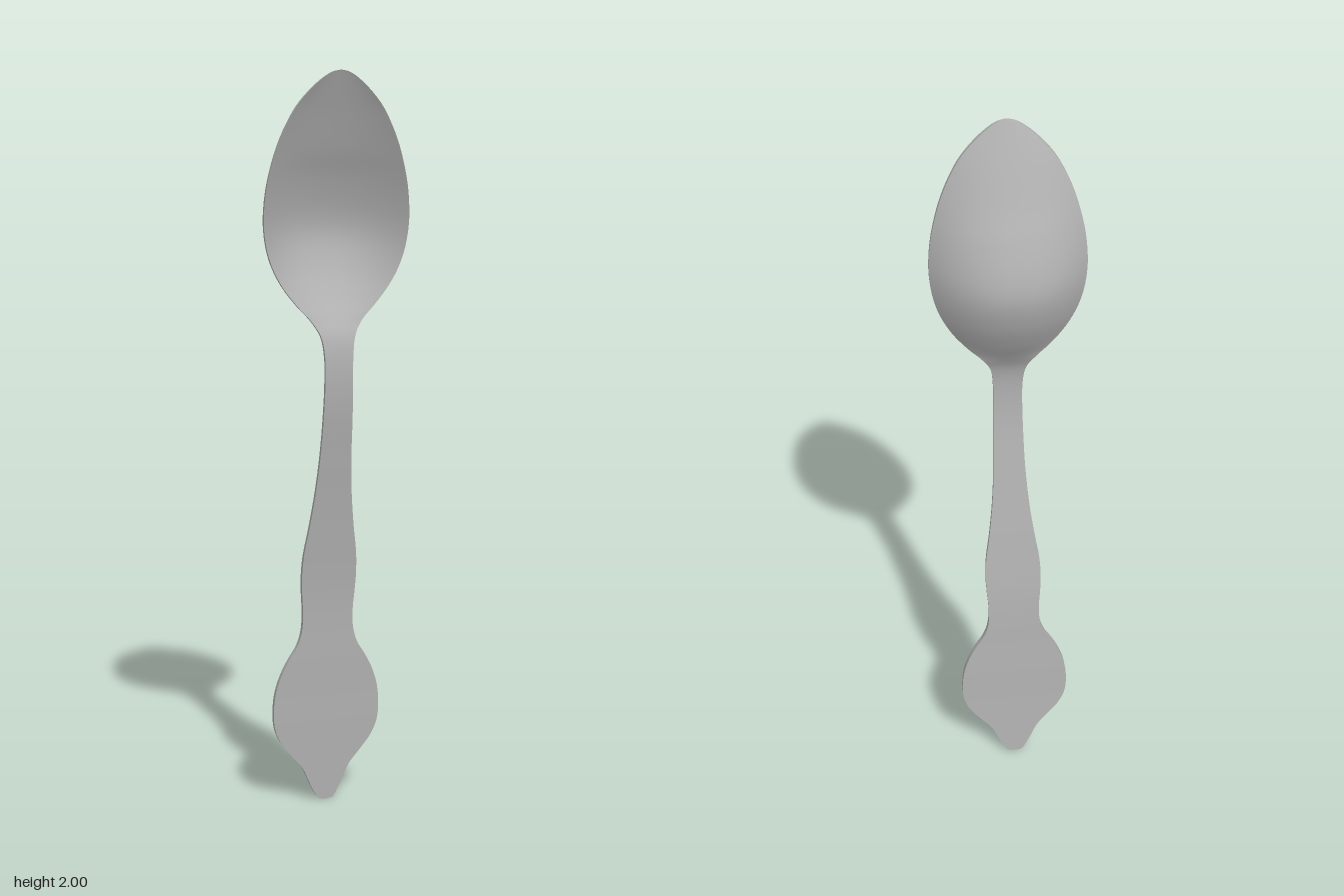
import * as THREE from 'three';

// Outline as [half width, height], from the handle end to the bowl tip
const outline = [
  [0, 0], [0.02, 0.004], [0.031, 0.02], [0.05, 0.06], [0.068, 0.1], [0.1, 0.14], [0.13, 0.18], [0.147, 0.22],
  [0.152, 0.27], [0.146, 0.33], [0.13, 0.38], [0.11, 0.42], [0.086, 0.46], [0.074, 0.5], [0.071, 0.55],
  [0.075, 0.61], [0.077, 0.66], [0.074, 0.72], [0.062, 0.8], [0.05, 0.9], [0.043, 1], [0.04, 1.1],
  [0.038, 1.2], [0.039, 1.27], [0.047, 1.32], [0.07, 1.36], [0.107, 1.4], [0.146, 1.45], [0.173, 1.5],
  [0.189, 1.55], [0.197, 1.61], [0.196, 1.66], [0.19, 1.71], [0.179, 1.76], [0.164, 1.81], [0.143, 1.86],
  [0.115, 1.91], [0.081, 1.95], [0.047, 1.98], [0.022, 1.995], [0, 2],
];

// Depth of the back face along the middle, and along the edge, as [height, z]
const handleLine = [
  [0, -0.073], [0.2, -0.063], [0.4, -0.053], [0.6, -0.041], [0.8, -0.014], [1, 0.018],
  [1.12, 0.037], [1.2, 0.044], [1.27, 0.043], [1.32, 0.034],
];
const middleLine = [...handleLine, [1.36, 0.015], [1.42, -0.02], [1.49, -0.053], [1.57, -0.074],
  [1.635, -0.07], [1.725, -0.044], [1.8, -0.014], [1.9, 0.023], [2, 0.062]];
const edgeLine = [...handleLine, [1.36, 0.02], [1.42, 0.016], [1.5, 0.019], [1.6, 0.025], [1.8, 0.042], [2, 0.062]];
const thicknessLine = [[0, 0.016], [0.5, 0.015], [0.9, 0.012], [2, 0.011]];
const offsetLine = [[0, -0.005], [0.6, -0.005], [0.9, -0.002], [1.1, 0], [2, 0]];

// Smooth interpolation through a table of [height, value]
function sample(table, y) {
  const last = table.length - 1;
  let i = 0;
  while (i < last - 1 && y > table[i + 1][0]) i++;
  const slope = (k) => {
    const a = table[Math.max(0, k - 1)], b = table[Math.min(last, k + 1)];
    return (b[1] - a[1]) / (b[0] - a[0]);
  };
  const [y0, v0] = table[i], [y1, v1] = table[i + 1];
  const h = y1 - y0, t = THREE.MathUtils.clamp((y - y0) / h, 0, 1);
  const s = t * t * (3 - 2 * t);
  return v0 + (v1 - v0) * s + h * t * (1 - t) * ((1 - t) * slope(i) - t * slope(i + 1));
}

export function createModel() {
  const metal = new THREE.MeshStandardMaterial({ color: 0xb3b3b3 });
  metal.name = 'brushed metal';

  const curve = new THREE.CatmullRomCurve3(outline.map(([w, y]) => new THREE.Vector3(w, y, 0)), false, 'centripetal');
  const rows = curve.getPoints((outline.length - 1) * 4).map((p) => ({
    y: THREE.MathUtils.clamp(p.y, 0, 2), w: Math.max(0, p.x),
  }));

  // Point on the skin: u runs across from -1 to 1, front picks the face
  const point = ({ y, w }, u, front) => {
    const mid = sample(middleLine, y), edge = sample(edgeLine, y);
    const z = mid + (edge - mid) * Math.pow(Math.abs(u), 2.2);
    return [sample(offsetLine, y) + w * u, y, z + (front ? sample(thicknessLine, y) : 0)];
  };

  // Four strips with their own vertices, so the rim stays sharp
  const across = Array.from({ length: 29 }, (_, i) => i / 14 - 1);
  const strips = [
    across.map((u) => [u, true]),
    across.map((u) => [-u, false]),
    [[1, true], [1, false]],
    [[-1, false], [-1, true]],
  ];
  const positions = [], handleIndex = [], bowlIndex = [];
  for (const strip of strips) {
    const start = positions.length / 3, n = strip.length;
    rows.forEach((row, r) => {
      for (const [u, front] of strip) positions.push(...point(row, u, front));
      if (r === rows.length - 1) return;
      const index = row.y < 1.355 ? handleIndex : bowlIndex;
      for (let c = 0; c < n - 1; c++) {
        const a = start + r * n + c, d = a + n;
        index.push(a, a + 1, d, a + 1, d + 1, d);
      }
    });
  }

  // Normals are found on the whole skin so handle and bowl blend
  const skin = new THREE.BufferGeometry();
  skin.setAttribute('position', new THREE.Float32BufferAttribute(positions, 3));
  skin.setIndex([...handleIndex, ...bowlIndex]);
  skin.computeVertexNormals();

  const model = new THREE.Group();
  model.name = 'spoon';
  for (const [name, index] of [['handle', handleIndex], ['bowl', bowlIndex]]) {
    const geometry = skin.clone();
    geometry.setIndex(index);
    const mesh = new THREE.Mesh(geometry, metal);
    mesh.name = name;
    model.add(mesh);
  }
  return model;
}
